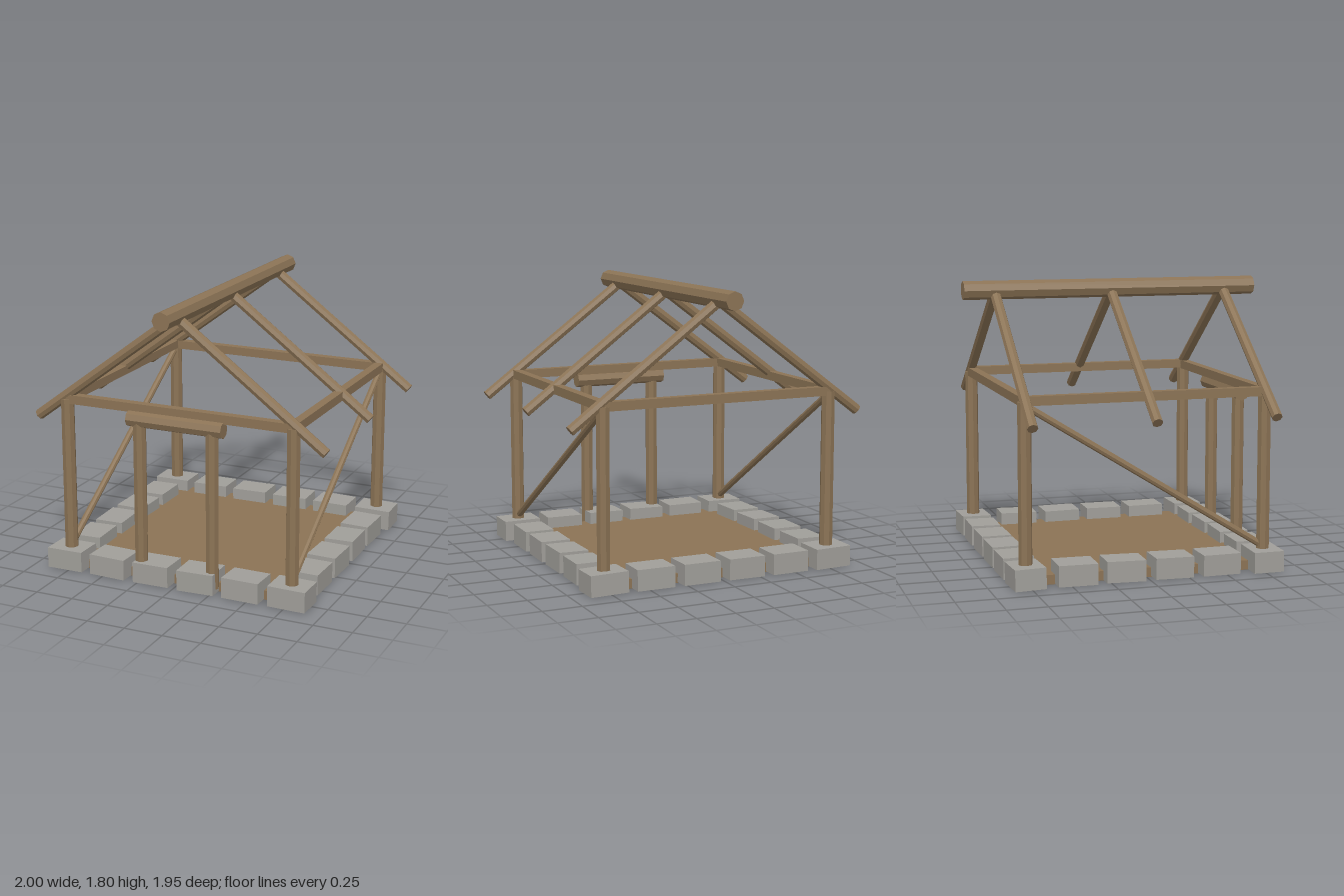
import * as THREE from 'three';

export function createModel() {
  const model = new THREE.Group();
  const wood = new THREE.MeshStandardMaterial({ color: 0x8b7355, flatShading: true });
  wood.name = 'wood';
  const stone = new THREE.MeshStandardMaterial({ color: 0xa09e99, flatShading: true });
  stone.name = 'stone';

  let seed = 7;
  const jitter = (amount) => {
    seed = (seed * 16807) % 2147483647;
    return (seed / 2147483647 - 0.5) * 2 * amount;
  };

  const add = (name, geometry, material, x, y, z) => {
    const mesh = new THREE.Mesh(geometry, material);
    mesh.name = name;
    mesh.position.set(x, y, z);
    model.add(mesh);
    return mesh;
  };
  const box = (name, w, h, d, x, y, z, material = wood) =>
    add(name, new THREE.BoxGeometry(w, h, d), material, x, y, z);

  // Eight-sided log between two points
  const log = (name, from, to, radius) => {
    const a = new THREE.Vector3(...from), b = new THREE.Vector3(...to);
    const mid = a.clone().add(b).multiplyScalar(0.5);
    const geometry = new THREE.CylinderGeometry(radius, radius, a.distanceTo(b), 8);
    const mesh = add(name, geometry, wood, mid.x, mid.y, mid.z);
    mesh.quaternion.setFromUnitVectors(new THREE.Vector3(0, 1, 0), b.sub(a).normalize());
  };

  // Floor slab
  box('floor', 1.54, 0.06, 1.54, 0, 0.03, 0);

  // Ring of slightly crooked foundation stones
  const foundationStone = (x, z, w, d) => {
    const mesh = box('foundationStone', w, 0.133, d, x, 0.07, z, stone);
    mesh.rotation.set(jitter(0.02), jitter(0.04), jitter(0.02));
  };
  const spots = [-0.77, -0.462, -0.154, 0.154, 0.462, 0.77];
  for (const side of [-1, 1]) {
    for (const s of spots) foundationStone(s, side * 0.77, 0.247, 0.195);
    for (const s of spots.slice(1, -1)) foundationStone(side * 0.77, s, 0.195, 0.247);
  }

  // Corner posts, wall plates and diagonal braces
  for (const side of [-1, 1]) {
    for (const end of [-1, 1]) {
      log('cornerPost', [side * 0.77, 0.06, end * 0.77], [side * 0.77, 1.13, end * 0.77], 0.043);
    }
    box('crossBeam', 1.54, 0.057, 0.057, 0, 1.132, side * 0.77);
    box('sideBeam', 0.057, 0.057, 1.54, side * 0.77, 1.135, 0);
    log('brace', [side * 0.77, 0.15, 0.77], [side * 0.77, 1.11, -0.77], 0.022);
  }

  // Door frame
  for (const side of [-1, 1]) {
    log('doorPost', [side * 0.247, 0.03, 0.797], [side * 0.247, 1.04, 0.797], 0.042);
  }
  log('doorLintel', [-0.323, 1.063, 0.793], [0.323, 1.063, 0.793], 0.052);

  // Roof frame
  log('ridgePole', [0, 1.742, -0.977], [0, 1.742, 0.977], 0.06);
  for (const z of [-0.77, 0, 0.77]) {
    for (const side of [-1, 1]) {
      log('rafter', [side * 0.978, 0.998, z], [0, 1.728, z], 0.034);
    }
  }
  return model;
}
